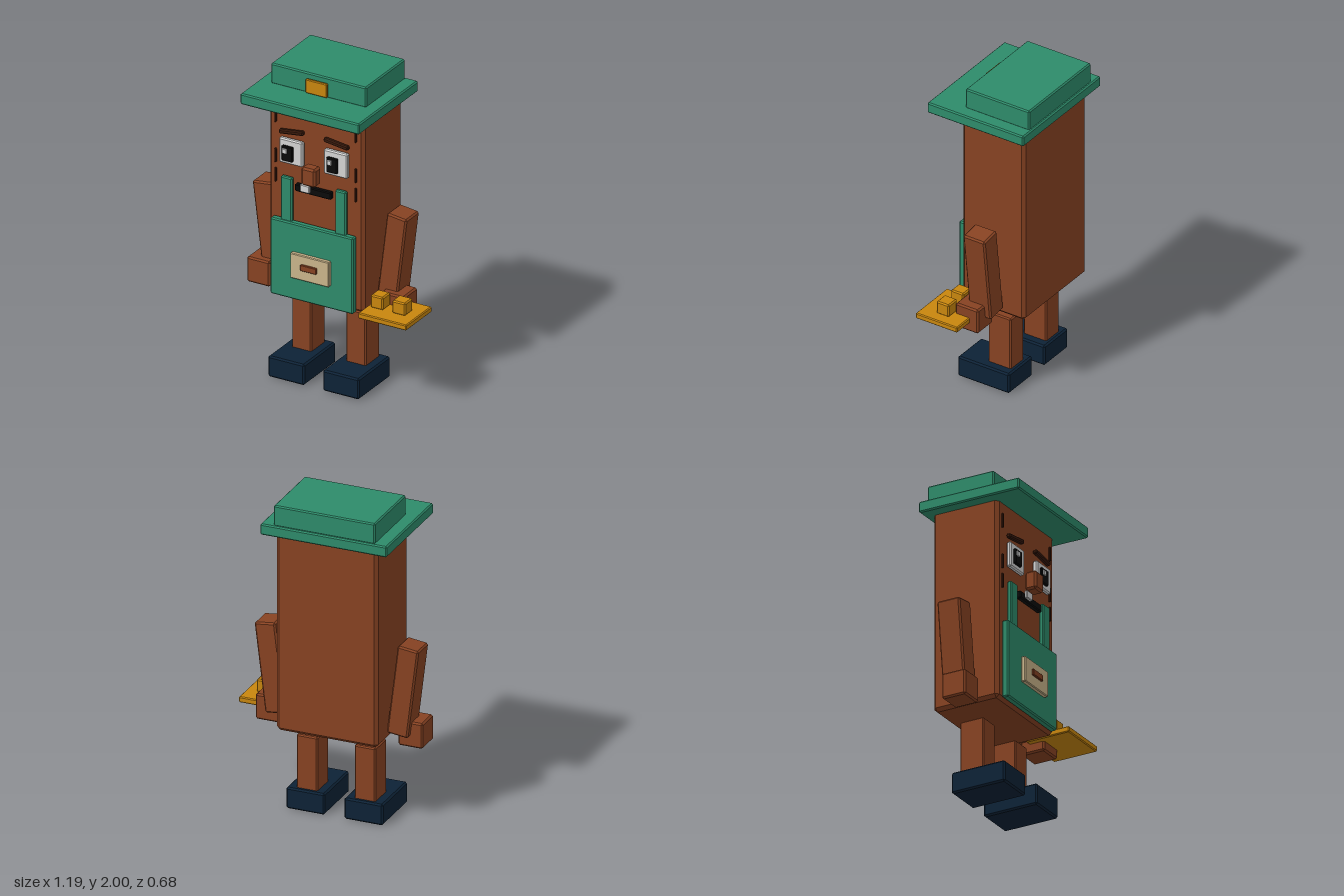
import * as THREE from 'three';
import { ConvexGeometry } from 'three/addons/geometries/ConvexGeometry.js';

const mat = (name, color) => {
  const m = new THREE.MeshStandardMaterial({ color });
  m.name = name;
  return m;
};

// Box with a flat chamfer on every edge
function chamferBox(w, h, d, c) {
  const pts = [];
  for (const x of [-1, 1]) for (const y of [-1, 1]) for (const z of [-1, 1]) {
    const [X, Y, Z] = [x * w / 2, y * h / 2, z * d / 2];
    pts.push(
      new THREE.Vector3(X, Y - y * c, Z - z * c),
      new THREE.Vector3(X - x * c, Y, Z - z * c),
      new THREE.Vector3(X - x * c, Y - y * c, Z));
  }
  return new ConvexGeometry(pts);
}

export function createModel() {
  const root = new THREE.Group();
  root.name = 'blockFigure';
  const brown = mat('brown', 0x874222);
  const darkBrown = mat('darkBrown', 0x3a1a0c);
  const green = mat('green', 0x2e8b6a);
  const gold = mat('gold', 0xc8860e);
  const cream = mat('cream', 0xc9b48a);
  const navy = mat('navy', 0x0d2236);
  const white = mat('white', 0xd4d4d4);
  const black = mat('black', 0x0a0a0a);

  // Part given by its extents along x, y and z
  const box = (name, m, [x0, x1], [y0, y1], [z0, z1], c = 0.008, tilt = 0) => {
    const [w, h, d] = [x1 - x0, y1 - y0, z1 - z0];
    const mesh = new THREE.Mesh(chamferBox(w, h, d, Math.min(c, Math.min(w, h, d) * 0.25)), m);
    mesh.position.set((x0 + x1) / 2, (y0 + y1) / 2, (z0 + z1) / 2);
    mesh.rotation.z = tilt;
    mesh.name = name;
    root.add(mesh);
  };

  // Body and hat
  box('body', brown, [-0.39, 0.255], [0.545, 1.83], [-0.29, 0.148], 0.02);
  box('hatBrim', green, [-0.47, 0.335], [1.803, 1.873], [-0.338, 0.338]);
  box('hatCrown', green, [-0.39, 0.255], [1.868, 2], [-0.325, 0.123]);
  box('hatBuckle', gold, [-0.14, 0.005], [1.88, 1.97], [0.13, 0.15], 0.005);

  // Apron with straps, pocket and patch
  box('apron', green, [-0.35, 0.21], [0.55, 1.043], [0.153, 0.198]);
  box('rightStrap', green, [-0.29, -0.212], [1.03, 1.32], [0.153, 0.183]);
  box('leftStrap', green, [0.078, 0.153], [1.03, 1.32], [0.153, 0.183]);
  box('pocket', cream, [-0.2, 0.062], [0.7, 0.862], [0.195, 0.225], 0.005);
  box('pocketPatch', brown, [-0.125, -0.015], [0.767, 0.807], [0.22, 0.237], 0.004);

  // Eyes and brows
  for (const [side, x, s] of [['right', -0.22, -1], ['left', 0.083, 1]]) {
    box(side + 'Eye', white, [x - 0.08, x + 0.08], [1.408, 1.568], [0.153, 0.185]);
    box(side + 'Pupil', black, [x - 0.052, x + 0.022], [1.433, 1.53], [0.183, 0.203], 0.005);
    box(side + 'Glint', white, [x - 0.043, x - 0.013], [1.483, 1.515], [0.198, 0.211], 0.003);
    box(side + 'Brow', darkBrown, [x - 0.083, x + 0.083], [1.601, 1.629], [0.155, 0.184], 0.007, -s * 0.13);
  }

  // Nose and mouth
  box('nose', brown, [-0.115, -0.02], [1.328, 1.445], [0.17, 0.245], 0.012);
  box('mouth', black, [-0.19, 0.055], [1.248, 1.295], [0.155, 0.188], 0.006);
  box('tooth', white, [-0.145, -0.083], [1.262, 1.31], [0.185, 0.205], 0.004);

  // Bark cracks
  for (const x of [-0.34, 0.202]) for (const y of [1.69, 1.43, 1.305])
    box('barkCrack', darkBrown, [x - 0.006, x + 0.006], [y - 0.045, y + 0.045], [0.142, 0.159], 0.003);

  // Limbs, mirrored about the middle of the body
  const mid = -0.065;
  for (const [side, s] of [['right', -1], ['left', 1]]) {
    const at = (offset, half) => [mid + s * offset - half, mid + s * offset + half];
    box(side + 'Arm', brown, at(0.421, 0.067), [0.578, 1.15], [-0.147, 0.005], 0.01, -s * 0.122);
    box(side + 'Hand', brown, at(0.454, 0.078), [0.503, 0.665], [-0.108, 0.051], 0.01);
    box(side + 'Leg', brown, at(0.184, 0.067), [0.12, 0.475], [-0.15, 0.01], 0.008);
    box(side + 'Boot', navy, at(0.185, 0.123), [0, 0.135], [-0.175, 0.186], 0.01);
  }

  // Tray with two cubes
  box('tray', gold, [0.27, 0.597], [0.56, 0.597], [-0.05, 0.242], 0.006);
  box('trayCube', gold, [0.294, 0.38], [0.595, 0.678], [0.053, 0.142]);
  box('trayCube', gold, [0.44, 0.53], [0.595, 0.678], [0.053, 0.142]);

  return root;
}
